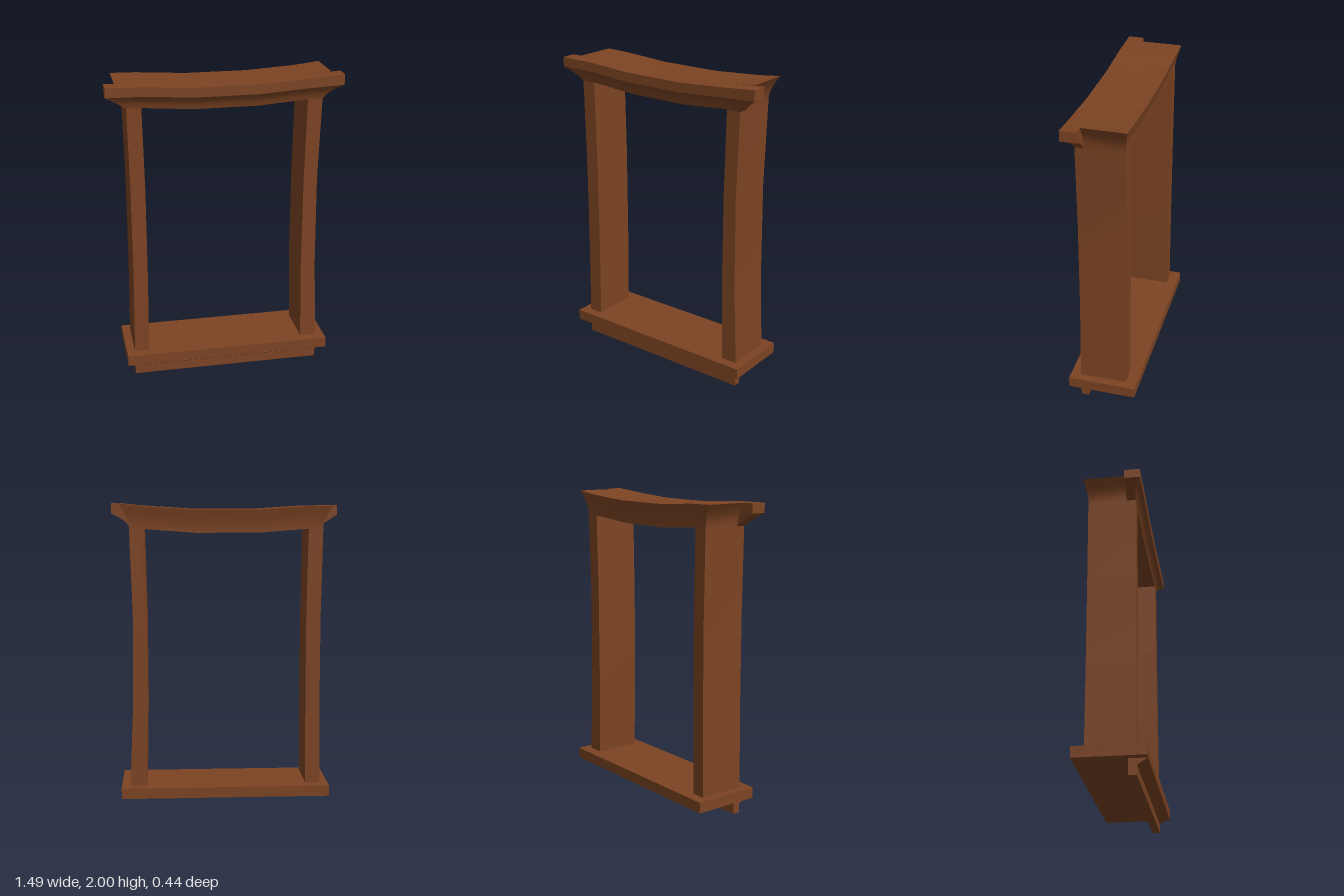
import * as THREE from 'three';
import { toCreasedNormals } from 'three/addons/utils/BufferGeometryUtils.js';

const wood = new THREE.MeshStandardMaterial({ color: 0x7d4423 });
wood.name = 'brownWood';

function part(name, geometry) {
  const mesh = new THREE.Mesh(geometry, wood);
  mesh.name = name;
  return mesh;
}

function extrude(points, depth) {
  const shape = new THREE.Shape(points.map(([x, y]) => new THREE.Vector2(x, y)));
  return new THREE.ExtrudeGeometry(shape, { depth, bevelEnabled: false });
}

// Sagging beam stations: x, underside height, top height.
const stations = [
  [-1, 1.84, 1.985], [-0.52, 1.84, 1.982], [-0.2, 1.816, 1.962],
  [0.2, 1.816, 1.962], [0.52, 1.84, 1.982], [1, 1.84, 2],
];

// Loft of a moulded beam. Each row: height fraction, front z, back z, left-end x, right-end x.
function beam(rows) {
  const n = rows.length;
  const ring = [...rows.map((r) => [r, r[1]]), ...[...rows].reverse().map((r) => [r, r[2]])];
  const pos = [];
  const index = [];
  stations.forEach(([x, low, high], s) => {
    for (const [row, z] of ring) {
      const px = s === 0 ? row[3] : s === stations.length - 1 ? row[4] : x;
      pos.push(px, low + (high - low) * row[0], z);
    }
  });
  const m = ring.length;
  for (let s = 0; s < stations.length - 1; s++) {
    for (let i = 0; i < m; i++) {
      const a = s * m + i, b = s * m + (i + 1) % m;
      index.push(a, a + m, b, a + m, b + m, b);
    }
  }
  // Flared ends
  const last = (stations.length - 1) * m;
  for (let i = 0; i < n - 1; i++) {
    const f0 = i, f1 = i + 1, b0 = m - 1 - i, b1 = m - 2 - i;
    index.push(f0, f1, b0, f1, b1, b0);
    index.push(last + f0, last + b0, last + f1, last + f1, last + b0, last + b1);
  }
  const g = new THREE.BufferGeometry();
  g.setAttribute('position', new THREE.Float32BufferAttribute(pos, 3));
  g.setIndex(index);
  return toCreasedNormals(g, 0.6);
}

export function createModel() {
  const group = new THREE.Group();
  group.name = 'windowFrame';

  // Sill slab
  const sill = part('sill', new THREE.BoxGeometry(1.355, 0.07, 0.44));
  sill.position.set(0.0075, 0.135, 0);
  group.add(sill);

  // Apron under the front of the sill, with a sloped upper lip
  const apronShape = [[-0.105, 0], [-0.105, 0.1], [-0.22, 0.1], [-0.155, 0.06], [-0.155, 0]];
  const apron = part('apron', extrude(apronShape, 1.245));
  apron.rotation.y = Math.PI / 2;
  apron.position.x = -0.617;
  group.add(apron);

  // Gently bowed posts: height, outer x, inner x
  const posts = {
    rightPost: [[0.17, -0.617, -0.522], [0.7, -0.609, -0.516], [1.3, -0.608, -0.515], [1.84, -0.617, -0.524]],
    leftPost: [[0.17, 0.63, 0.522], [0.7, 0.606, 0.51], [1.3, 0.599, 0.51], [1.84, 0.615, 0.521]],
  };
  for (const [name, rows] of Object.entries(posts)) {
    const outline = [...rows.map((r) => [r[1], r[0]]), ...[...rows].reverse().map((r) => [r[2], r[0]])];
    const g = extrude(outline, 0.305);
    g.translate(0, 0, -0.15);
    group.add(part(name, toCreasedNormals(g, 0.5)));
  }

  // Head beam, flared at the back and sides
  group.add(part('headBeam', beam([
    [0, 0.1, -0.15, -0.617, 0.615],
    [0.25, 0.1, -0.15, -0.619, 0.617],
    [0.5, 0.1, -0.156, -0.632, 0.63],
    [0.75, 0.1, -0.165, -0.653, 0.651],
    [1, 0.1, -0.174, -0.68, 0.678],
  ])));

  // Front cornice with projecting ears
  group.add(part('cornice', beam([
    [0, 0.155, 0.1, -0.617, 0.615],
    [0.2, 0.162, 0.1, -0.66, 0.642],
    [0.4, 0.178, 0.1, -0.704, 0.682],
    [0.58, 0.2, 0.1, -0.745, 0.74],
    [1, 0.2, 0.1, -0.745, 0.74],
  ])));

  return group;
}
